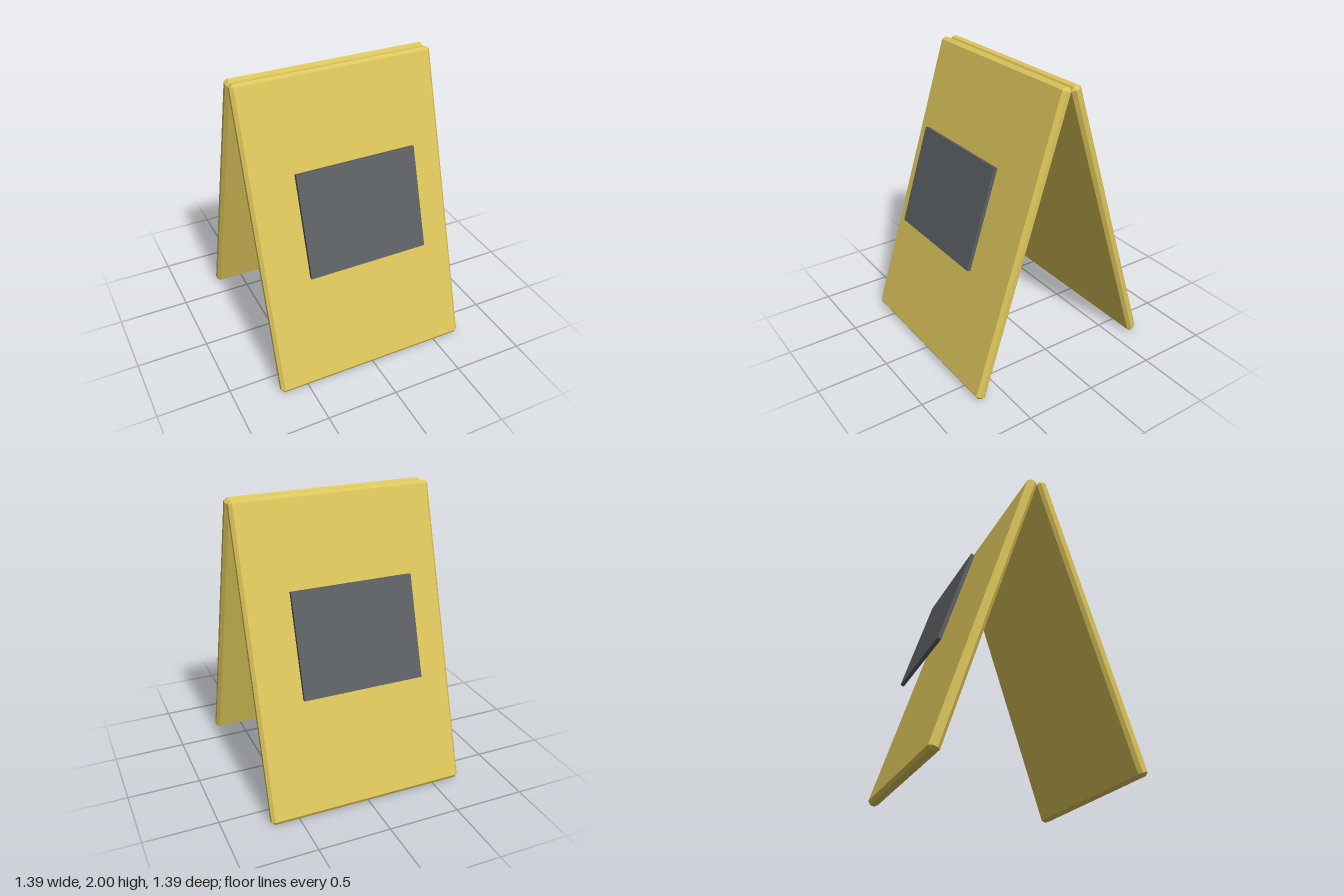
import * as THREE from 'three';
import { ConvexGeometry } from 'three/addons/geometries/ConvexGeometry.js';

const LEAN = 0.3106; // tilt of each board from the vertical

// Box with flat chamfers on all edges and corners; arguments are half sizes
function chamferedBox(hx, hy, hz, c) {
  const points = [];
  for (const sx of [-1, 1]) for (const sy of [-1, 1]) for (const sz of [-1, 1]) {
    points.push(
      new THREE.Vector3(sx * hx, sy * (hy - c), sz * (hz - c)),
      new THREE.Vector3(sx * (hx - c), sy * hy, sz * (hz - c)),
      new THREE.Vector3(sx * (hx - c), sy * (hy - c), sz * hz),
    );
  }
  return new ConvexGeometry(points);
}

export function createModel() {
  const yellow = new THREE.MeshStandardMaterial({ name: 'yellow', color: 0xdcc55a });
  const darkGrey = new THREE.MeshStandardMaterial({ name: 'darkGrey', color: 0x5c6063 });

  const boardGeometry = chamferedBox(0.695, 1.0455, 0.036, 0.0214);
  const plateGeometry = new THREE.BoxGeometry(0.834, 0.693, 0.026);

  const model = new THREE.Group();
  model.name = 'foldingFloorSign';

  // Two identical leaning sides, back to back
  for (const [side, turn] of [['front', 0], ['back', Math.PI]]) {
    const half = new THREE.Group();
    half.name = side + 'Side';
    half.rotation.y = turn;

    const board = new THREE.Mesh(boardGeometry, yellow);
    board.name = side + 'Board';
    board.position.set(0, 1, 0.347);
    board.rotation.x = -LEAN;

    // Plate held clear of the board, parallel to it
    const plate = new THREE.Mesh(plateGeometry, darkGrey);
    plate.name = side + 'Plate';
    plate.position.set(0, 1.145, 0.4645);
    plate.rotation.x = -LEAN;

    half.add(board, plate);
    model.add(half);
  }
  return model;
}
